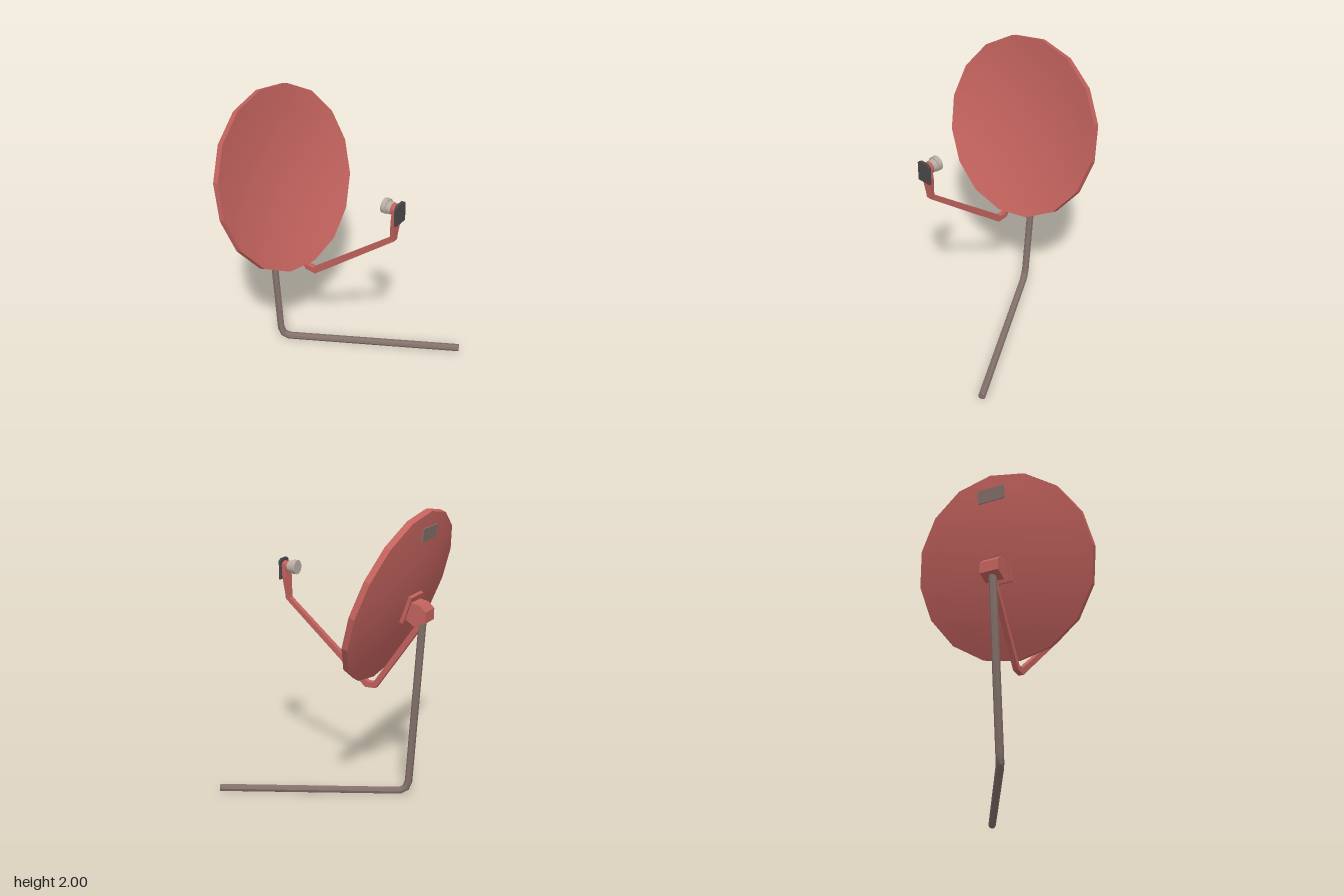
import * as THREE from 'three';
import { toCreasedNormals } from 'three/addons/utils/BufferGeometryUtils.js';

// Polyline whose samples fall exactly on its points, so tube bends stay crisp
class Polyline extends THREE.Curve {
  constructor(points) {
    super();
    this.points = points.map((p) => new THREE.Vector3(...p));
  }
  getPoint(t, target = new THREE.Vector3()) {
    const f = t * (this.points.length - 1);
    const i = Math.min(Math.floor(f + 1e-6), this.points.length - 2);
    return target.lerpVectors(this.points[i], this.points[i + 1], f - i);
  }
  getPointAt(t, target) { return this.getPoint(t, target); }
  getTangentAt(t, target = new THREE.Vector3()) {
    const n = this.points.length - 1;
    const i = Math.round(t * n);
    target.set(0, 0, 0);
    if (i > 0) target.add(this.points[i].clone().sub(this.points[i - 1]).normalize());
    if (i < n) target.add(this.points[i + 1].clone().sub(this.points[i]).normalize());
    return target.normalize();
  }
}

function material(name, color) {
  const m = new THREE.MeshStandardMaterial({ color });
  m.name = name;
  return m;
}

function part(parent, name, geometry, mat, position = [0, 0, 0], rotZ = 0) {
  const mesh = new THREE.Mesh(geometry, mat);
  mesh.name = name;
  mesh.position.set(...position);
  mesh.rotation.z = rotZ;
  parent.add(mesh);
  return mesh;
}

// Outline extruded symmetrically about z = 0
function slab(outline, width) {
  const shape = new THREE.Shape(outline.map((p) => new THREE.Vector2(...p)));
  return new THREE.ExtrudeGeometry(shape, { depth: width, bevelEnabled: false }).translate(0, 0, -width / 2);
}

export function createModel() {
  const model = new THREE.Group();
  model.name = 'satelliteDish';
  const red = material('paintedRed', 0xc2625d);
  const brown = material('brownSteel', 0x83706a);
  const beige = material('hornBeige', 0xb8aea3);
  const dark = material('darkPlastic', 0x4a4848);

  // Bent pole with its long foot
  const path = new Polyline([
    [-0.602, 1.28, -0.066], [-0.533, 0.1, -0.022], [-0.515, 0.053, -0.022],
    [-0.475, 0.03, -0.027], [0.757, 0.037, -0.185],
  ]);
  const radius = 0.026;
  part(model, 'pole', toCreasedNormals(new THREE.TubeGeometry(path, 4, radius, 8, false), 0.6), brown);
  for (const [t, sign] of [[0, -1], [1, 1]]) {
    const cap = part(model, 'poleCap', new THREE.CircleGeometry(radius, 8), brown);
    cap.position.copy(path.getPoint(t));
    cap.quaternion.setFromUnitVectors(new THREE.Vector3(0, 0, 1), path.getTangentAt(t).multiplyScalar(sign));
  }

  // Head: local +x is the horizontal aiming direction
  const head = new THREE.Group();
  head.name = 'dishHead';
  head.position.set(-0.42, 0, 0.006);
  head.rotation.y = -THREE.MathUtils.degToRad(22);
  model.add(head);

  // Tilted reflector: local +y is the dish axis, local -x points up the dish
  const reflector = new THREE.Group();
  reflector.name = 'reflector';
  reflector.position.y = 1.417;
  reflector.rotation.z = -THREE.MathUtils.degToRad(71.1);
  head.add(reflector);
  const R = 0.62;
  const steps = 6;
  const back = (r) => -0.12 + 0.078 * (r / R) ** 2;
  const front = (r) => -0.085 * (1 - (r / R) ** 2);
  const profile = [];
  for (let i = 0; i <= steps; i++) profile.push(new THREE.Vector2((R * i) / steps, back((R * i) / steps)));
  for (let i = steps; i >= 0; i--) profile.push(new THREE.Vector2((R * i) / steps, front((R * i) / steps)));
  const bowl = new THREE.LatheGeometry(profile, 16).scale(0.995, 1, 1.008);
  part(reflector, 'bowl', toCreasedNormals(bowl, 0.35), red);
  part(reflector, 'backLabel', new THREE.BoxGeometry(0.09, 0.009, 0.19), brown, [-0.48, back(0.48) - 0.001, 0], -0.19);
  part(reflector, 'mountPlate', new THREE.BoxGeometry(0.19, 0.03, 0.17), red, [0.03, -0.127, 0]);

  // Bracket joining dish and pole
  part(head, 'mountBracket', slab([
    [-0.245, 1.27], [-0.16, 1.24], [-0.09, 1.29], [-0.11, 1.4], [-0.2, 1.385], [-0.245, 1.345],
  ], 0.13), red);

  // Feed arm: strut down behind the dish, then out to the receiver
  part(head, 'feedArm', slab([
    [-0.21, 1.25], [0.135, 0.745], [0.215, 0.74], [0.85, 1.275], [0.852, 1.3],
    [0.818, 1.3], [0.815, 1.285], [0.2, 0.782], [0.155, 0.782], [-0.17, 1.26],
  ], 0.036), red);
  const armHead = slab([
    [-0.018, 0], [0.018, 0], [0.037, 0.15], [0.037, 0.24], [-0.037, 0.24], [-0.037, 0.15],
  ], 0.03).rotateY(Math.PI / 2);
  part(head, 'armHead', armHead, red, [0.833, 1.28, 0], -0.1);

  // Receiver: collar, stepped horn and rear cover
  const cylinder = (r, length) =>
    toCreasedNormals(new THREE.CylinderGeometry(r, r, length, 14).rotateZ(Math.PI / 2), 0.6);
  part(head, 'receiverCollar', cylinder(0.038, 0.05), red, [0.842, 1.503, 0]);
  part(head, 'hornBody', cylinder(0.041, 0.04), beige, [0.806, 1.503, 0]);
  part(head, 'hornRim', cylinder(0.049, 0.032), beige, [0.777, 1.505, 0]);
  const cover = slab([
    [-0.05, 1.415], [0.05, 1.415], [0.05, 1.545], [0.03, 1.56], [-0.03, 1.56], [-0.05, 1.545],
  ], 0.016).rotateY(Math.PI / 2);
  part(head, 'receiverCover', cover, dark, [0.875, 0, 0]);

  return model;
}
